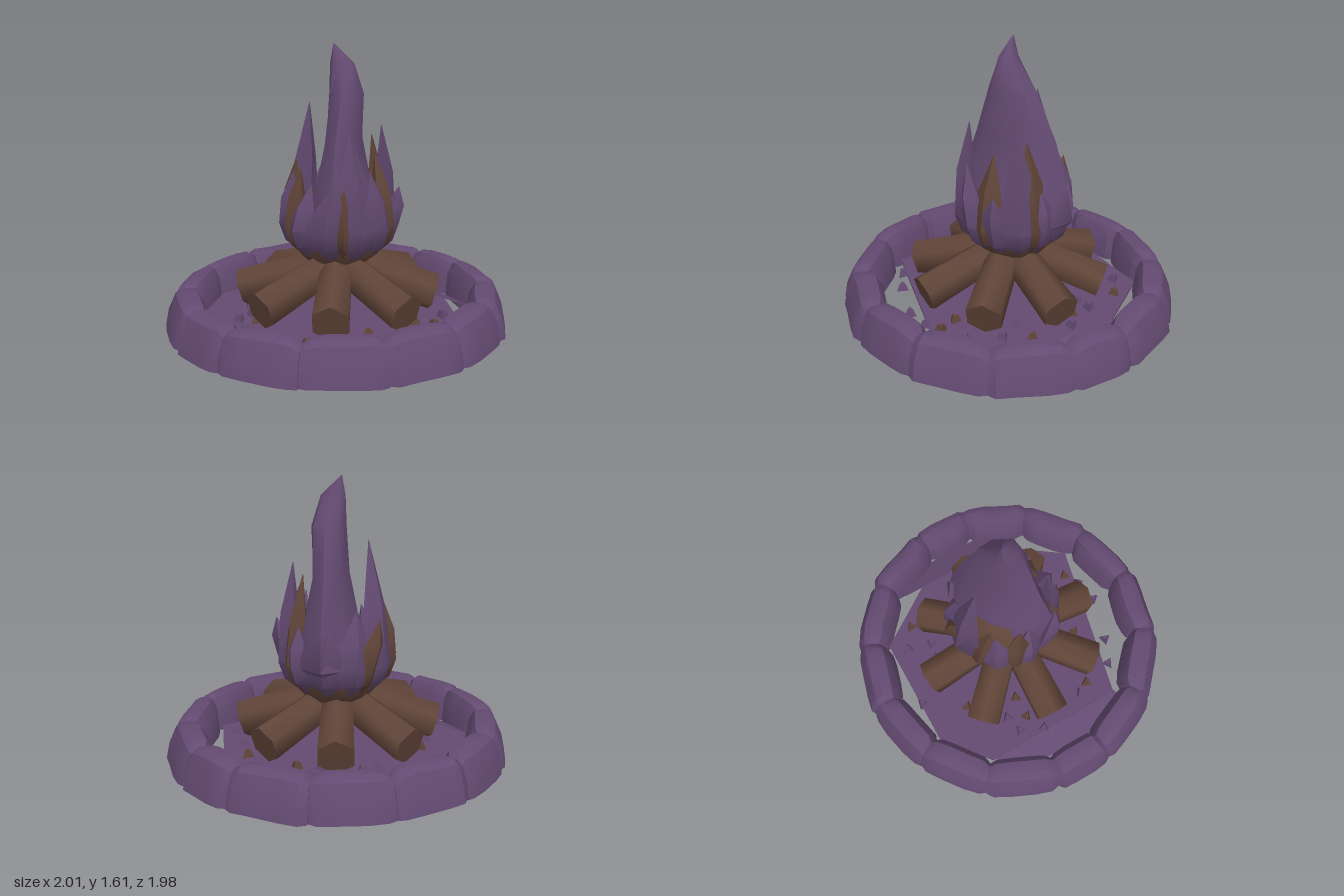
import * as THREE from 'three';
import { toCreasedNormals } from 'three/addons/utils/BufferGeometryUtils.js';

const purple = new THREE.MeshStandardMaterial({ color: 0x634a71, side: THREE.DoubleSide });
purple.name = 'dusky purple';
const brown = new THREE.MeshStandardMaterial({ color: 0x604438, side: THREE.DoubleSide });
brown.name = 'bark brown';

const rad = THREE.MathUtils.degToRad;
let seed = 7;
const rand = () => (seed = (seed * 16807) % 2147483647) / 2147483647;
const jitter = (s) => (rand() - 0.5) * 2 * s;

// Skin over a stack of equal-length rings, with fan caps at both ends
function loft(rings, crease, closed = true) {
  const n = rings[0].length;
  const idx = [];
  for (let i = 0; i < rings.length - 1; i++) {
    for (let j = 0; j < (closed ? n : n - 1); j++) {
      const a = i * n + j, b = i * n + (j + 1) % n;
      idx.push(a, a + n, b, b, a + n, b + n);
    }
  }
  const last = (rings.length - 1) * n;
  for (let j = 1; j < n - 1; j++) {
    idx.push(0, j, j + 1, last, last + j + 1, last + j);
  }
  const geo = new THREE.BufferGeometry();
  geo.setAttribute('position', new THREE.Float32BufferAttribute(rings.flat(2), 3));
  geo.setIndex(idx);
  return toCreasedNormals(geo, crease);
}

function add(parent, name, geo, mat) {
  const mesh = new THREE.Mesh(geo, mat);
  mesh.name = name;
  parent.add(mesh);
  return mesh;
}

function group(parent, name) {
  const g = new THREE.Group();
  g.name = name;
  parent.add(g);
  return g;
}

// Hollow wedge-shaped stone: open radial profile swept sideways, tapered at its ends
const stoneProfile = [[0.99, 0], [0.97, 0.1], [0.925, 0.2], [0.88, 0.225], [0.81, 0.22], [0.775, 0.16], [0.76, 0]];
function stoneGeometry(half, shift) {
  const steps = [[-1.01, 0.74], [-0.8, 0.95], [-0.35, 1], [0.35, 1], [0.8, 0.95], [1.01, 0.74]];
  const rings = steps.map(([t, s]) => {
    const dr = jitter(0.006) + shift, dy = jitter(0.005);
    return stoneProfile.map(([r, y]) => {
      const rr = 0.87 + (r - 0.87) * s + dr;
      return [rr, y === 0 ? 0 : y * (0.45 + 0.55 * s) + dy, t * Math.tan(half) * rr];
    });
  });
  return loft(rings, 0.6, false);
}

// Curved tongue of flame growing from the bowl at an angle up to a tip point
const bowlX = 0.03, bowlZ = -0.02;
function tongueGeometry(angle, [tx, ty, tz], width, inset) {
  const c = Math.cos(rad(angle)), s = Math.sin(rad(angle));
  const diamond = [[1, 0], [0, 1], [-1, 0], [0, -1]];
  const ring = (x, y, z, w, d) => diamond.map(([u, v]) => [x + c * u * d - s * v * w, y, z + s * u * d + c * v * w]);
  // height, radius, half width, half thickness
  const base = [[0.41, 0.2, 0.4, 0.03], [0.48, 0.26, 0.9, 0.05], [0.58, 0.285, 1, 0.06]];
  const rings = base.map(([y, r, w, d]) =>
    ring(bowlX + c * (r - inset), y, bowlZ + s * (r - inset), width * w, d));
  const r = 0.295 - inset, k = 0.5;
  const mix = (from, to) => from + (to - from) * k;
  rings.push(ring(mix(bowlX + c * r, tx), mix(0.58, ty), mix(bowlZ + s * r, tz), width * 0.62, 0.055));
  rings.push(ring(tx, ty, tz, 0.002, 0.002));
  return loft(rings, 0.9);
}

export function createModel() {
  const model = new THREE.Group();
  model.name = 'campfire';

  // Ring of stones: angle, half angle, outward shift
  const stones = group(model, 'stoneRing');
  const layout = [[0, 10.6, 0.01], [180, 10.6, 0.01]];
  for (const [a, h, d] of [[24, 13.2, 0], [50.5, 13.2, -0.01], [77, 13, -0.015]]) {
    layout.push([a, h, d], [-a, h, d], [180 - a, h, d], [180 + a, h, d]);
  }
  layout.forEach(([a, h, d]) => {
    add(stones, 'stone', stoneGeometry(rad(h), d), purple).rotation.y = -rad(a);
  });

  // Ground plate with sloping side aprons
  const outline = [[-0.63, -0.46], [-0.35, -0.69], [0.36, -0.69], [0.63, -0.3], [0.63, 0.28], [0.36, 0.66], [-0.63, 0.43]];
  const plate = new THREE.ExtrudeGeometry(
    new THREE.Shape(outline.map(([x, z]) => new THREE.Vector2(x, z))), { depth: 0.015, bevelEnabled: false });
  plate.rotateX(Math.PI / 2).translate(0, 0.05, 0);
  add(model, 'ground', plate, purple);
  for (const side of [-1, 1]) {
    const apron = add(model, 'groundApron', new THREE.BoxGeometry(0.16, 0.008, 0.88), purple);
    apron.position.set(side * 0.7, 0.025, 0);
    apron.rotation.z = -side * 0.33;
  }

  // Eight logs leaning to the middle
  const logs = group(model, 'logs');
  const r0 = 0.04, r1 = 0.565, y0 = 0.34, y1 = 0.175;
  for (let i = 0; i < 8; i++) {
    const pivot = group(logs, 'logPivot');
    pivot.rotation.y = i * Math.PI / 4;
    const geo = new THREE.CylinderGeometry(0.1, 0.112, Math.hypot(r1 - r0, y1 - y0), 6);
    geo.rotateY(Math.PI / 6).rotateZ(Math.PI / 2);
    const log = add(pivot, 'log', toCreasedNormals(geo, 1.1), brown);
    log.position.set((r0 + r1) / 2, (y0 + y1) / 2, 0);
    log.rotation.z = Math.atan2(y1 - y0, r1 - r0);
  }

  // Inner ember bowl
  const bowlPoints = [[0, 0.22], [0.12, 0.27], [0.2, 0.37], [0.28, 0.46], [0.285, 0.55], [0.17, 0.75], [0, 0.85]];
  add(model, 'emberBowl',
    new THREE.LatheGeometry(bowlPoints.map(([x, y]) => new THREE.Vector2(x, y)), 10), brown)
    .position.set(bowlX, 0, bowlZ);

  // Main flame, flattened along a diagonal: height, centre x, centre z, half length, half thickness
  const sections = [
    [0.44, 0.03, -0.01, 0.22, 0.2], [0.58, 0.055, -0.01, 0.355, 0.24], [0.8, 0.055, -0.005, 0.32, 0.16],
    [1.05, 0.06, -0.01, 0.24, 0.105], [1.33, 0.06, 0.01, 0.14, 0.1],
    [1.5, 0.023, 0.015, 0.055, 0.07], [1.61, 0, -0.03, 0.002, 0.002],
  ];
  const sides = 8, cosD = Math.cos(rad(-36)), sinD = Math.sin(rad(-36));
  const mainRings = sections.map(([y, cx, cz, len, thick]) => Array.from({ length: sides }, (_, j) => {
    const t = (j / sides) * Math.PI * 2;
    const u = len * Math.cos(t), v = thick * Math.sin(t);
    return [cx + u * cosD - v * sinD, y, cz + u * sinD + v * cosD];
  }));
  add(model, 'mainFlame', loft(mainRings, 0.9), purple);

  // Outer flame tongues: angle, tip, half width
  const outer = group(model, 'outerFlames');
  [
    [0, [0.32, 0.8, -0.02], 0.11], [24, [0.25, 1.14, 0.1], 0.13], [52, [0.25, 0.8, 0.25], 0.11],
    [80, [0, 0.92, 0.27], 0.12], [110, [-0.09, 1.13, 0.2], 0.14], [145, [-0.2, 0.86, 0.2], 0.13],
    [180, [-0.21, 0.84, 0.02], 0.12], [215, [-0.18, 0.88, -0.18], 0.13], [262, [-0.03, 1.27, -0.21], 0.15],
    [295, [0.12, 0.9, -0.27], 0.12], [328, [0.28, 0.8, -0.22], 0.12],
  ].forEach(([a, tip, w]) => add(outer, 'flameTongue', tongueGeometry(a, tip, w, -0.005), purple));

  // Brown tongues showing between the outer ones
  const inner = group(model, 'innerFlames');
  [
    [64, [0.13, 1.0, 0.17], 0.12], [127, [-0.13, 0.9, 0.2], 0.1], [194, [-0.23, 0.93, -0.05], 0.11],
    [235, [-0.15, 0.95, -0.19], 0.11], [278, [0.03, 0.85, -0.36], 0.1], [8, [0.24, 1.08, 0.03], 0.12],
  ].forEach(([a, tip, w]) => add(inner, 'innerTongue', tongueGeometry(a, tip, w, 0), brown));

  // Loose chips scattered on the ground
  const chips = group(model, 'chips');
  [
    [-0.09, -0.68], [0.28, -0.59], [0.41, -0.5], [0.14, -0.46], [0.24, -0.44], [-0.25, -0.44], [-0.36, -0.38],
    [-0.44, -0.25], [-0.49, -0.14], [-0.55, -0.22], [-0.61, -0.08], [-0.35, -0.14], [0.36, -0.25], [0.46, -0.27],
    [0.46, -0.15], [0.56, -0.08], [-0.53, 0.24], [-0.49, 0.31], [-0.45, 0.5], [-0.3, 0.57], [-0.15, 0.42],
    [-0.02, 0.65], [0.13, 0.62], [0.22, 0.57], [0.37, 0.5], [0.39, 0.19], [0.55, 0.17], [0.46, 0.31],
    [0.24, 0.36], [0.17, 0.46],
  ].forEach(([x, z], i) => {
    const geo = toCreasedNormals(new THREE.CylinderGeometry(0.02, 0.042, 0.045, 3), 0.3);
    const chip = add(chips, 'chip', geo, i % 3 === 2 ? brown : purple);
    chip.position.set(x, 0.07, z);
    chip.rotation.y = rand() * Math.PI * 2;
  });

  return model;
}
